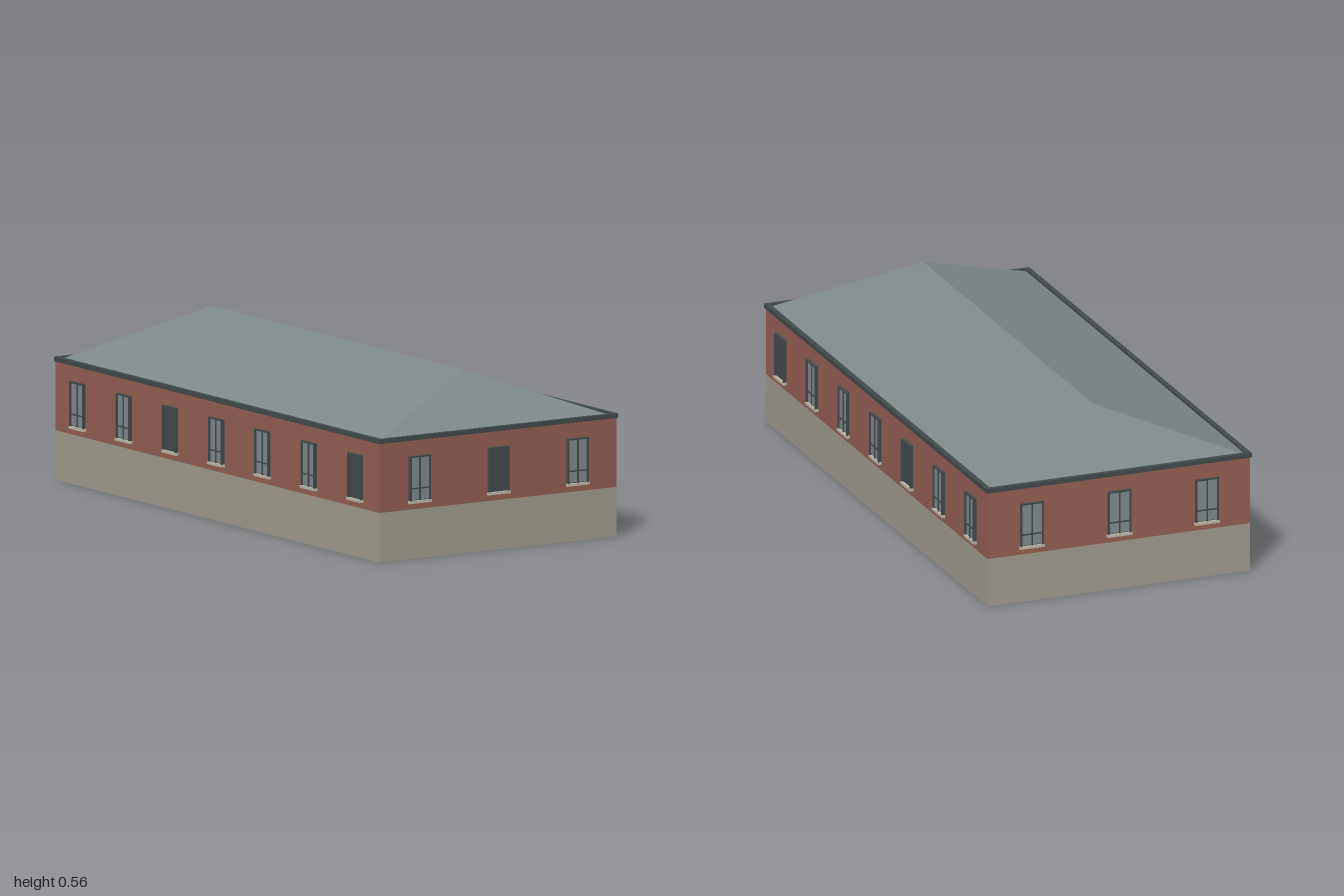
import * as THREE from 'three';

const mat = (name, color, side = THREE.FrontSide) => {
  const m = new THREE.MeshStandardMaterial({ color, side });
  m.name = name;
  return m;
};

export function createModel() {
  const stone = mat('stone', 0xa19c90, THREE.DoubleSide);
  const brick = mat('brick', 0x955f54, THREE.DoubleSide);
  const slate = mat('slate', 0x7f898a);
  const glass = mat('glass', 0x808a8d);
  const dark = mat('darkTrim', 0x434b4c);
  const sillStone = mat('sillStone', 0xbdb8aa);

  const W = 0.918, L = 1.911;        // wall footprint
  const EW = 0.927, EL = 1.92;       // eaves footprint
  const BASE = 0.163, EAVE = 0.39, EAVE_TOP = 0.405, RIDGE = 0.562;

  const building = new THREE.Group();
  building.name = 'building';

  const box = (parent, name, m, w, h, d, x, y, z) => {
    const mesh = new THREE.Mesh(new THREE.BoxGeometry(w, h, d), m);
    mesh.name = name;
    mesh.position.set(x, y, z);
    parent.add(mesh);
  };
  const sheet = (parent, name, m, w, y0, y1) => {
    const mesh = new THREE.Mesh(new THREE.PlaneGeometry(w, y1 - y0), m);
    mesh.name = name;
    mesh.position.y = (y0 + y1) / 2;
    parent.add(mesh);
  };

  // One window, facing +z: backing panel, panes, projecting frame and sill
  function makeWindow(blind) {
    const g = new THREE.Group();
    g.name = blind ? 'blindWindow' : 'window';
    const w = 0.08, y0 = 0.192, y1 = 0.339, t = 0.005, out = 0.011;
    const h = y1 - y0, cy = (y0 + y1) / 2;
    box(g, 'windowPanel', dark, w, h, 0.005, 0, cy, 0.0005);
    for (const s of [-1, 1]) box(g, 'frameSide', dark, t, h, out, s * (w - t) / 2, cy, out / 2);
    box(g, 'frameTop', dark, w, t, out, 0, y1 - t / 2, out / 2);
    if (!blind) {
      box(g, 'glassPane', glass, w - t, h - t, 0.002, 0, cy, 0.004);
      box(g, 'mullion', dark, 0.005, h, 0.008, 0, cy, 0.004);
      box(g, 'transom', dark, w, 0.004, 0.01, 0, 0.232, 0.005);
    }
    box(g, 'sill', sillStone, 0.086, 0.009, 0.013, 0, 0.1875, 0.0055);
    return g;
  }

  // Four walls: stone plinth, brick upper part and an even row of windows
  const walls = [
    { name: 'frontWall', turn: 0, width: W, depth: L, count: 3, blind: [1] },
    { name: 'leftWall', turn: Math.PI / 2, width: L, depth: W, count: 7, blind: [0, 4] },
    { name: 'backWall', turn: Math.PI, width: W, depth: L, count: 3, blind: [] },
    { name: 'rightWall', turn: -Math.PI / 2, width: L, depth: W, count: 7, blind: [2, 6] },
  ];
  // window index runs from each wall's left end to its right end
  for (const { name, turn, width, depth, count, blind } of walls) {
    const wall = new THREE.Group();
    wall.name = name;
    sheet(wall, 'plinth', stone, width, 0, BASE);
    sheet(wall, 'brickwork', brick, width, BASE, EAVE + 0.005);
    for (let i = 0; i < count; i++) {
      const win = makeWindow(blind.includes(i));
      win.position.x = width * ((i + 0.5) / count - 0.5);
      wall.add(win);
    }
    wall.rotation.y = turn;
    wall.position.set(Math.sin(turn) * depth / 2, 0, Math.cos(turn) * depth / 2);
    building.add(wall);
  }

  // Eaves ring
  const rim = 0.016, eh = EAVE_TOP - EAVE, ey = (EAVE + EAVE_TOP) / 2;
  for (const s of [-1, 1]) {
    box(building, 'sideEave', dark, rim, eh, EL, s * (EW - rim) / 2, ey, 0);
    box(building, 'endEave', dark, EW - 2 * rim, eh, rim, 0, ey, s * (EL - rim) / 2);
  }

  // Ceiling
  const ceiling = new THREE.Mesh(new THREE.PlaneGeometry(W - 0.01, L - 0.01), stone);
  ceiling.name = 'ceiling';
  ceiling.rotation.x = Math.PI / 2;
  ceiling.position.y = EAVE + 0.004;
  building.add(ceiling);

  // Hipped roof: four corners and two ridge ends
  const a = EW / 2 - rim, b = EL / 2 - rim, y = 0.397, r = 0.733;
  const FL = [-a, y, b], FR = [a, y, b], BR = [a, y, -b], BL = [-a, y, -b];
  const RF = [0, RIDGE, r], RB = [0, RIDGE, -r];
  const faces = [FL, FR, RF, BR, BL, RB, FR, BR, RB, FR, RB, RF, BL, FL, RF, BL, RF, RB];
  const roofGeo = new THREE.BufferGeometry();
  roofGeo.setAttribute('position', new THREE.Float32BufferAttribute(faces.flat(), 3));
  roofGeo.computeVertexNormals();
  const roof = new THREE.Mesh(roofGeo, slate);
  roof.name = 'hippedRoof';
  building.add(roof);

  // The building stands slightly turned
  building.rotation.y = -0.0978;
  const model = new THREE.Group();
  model.name = 'brickHall';
  model.add(building);
  return model;
}
